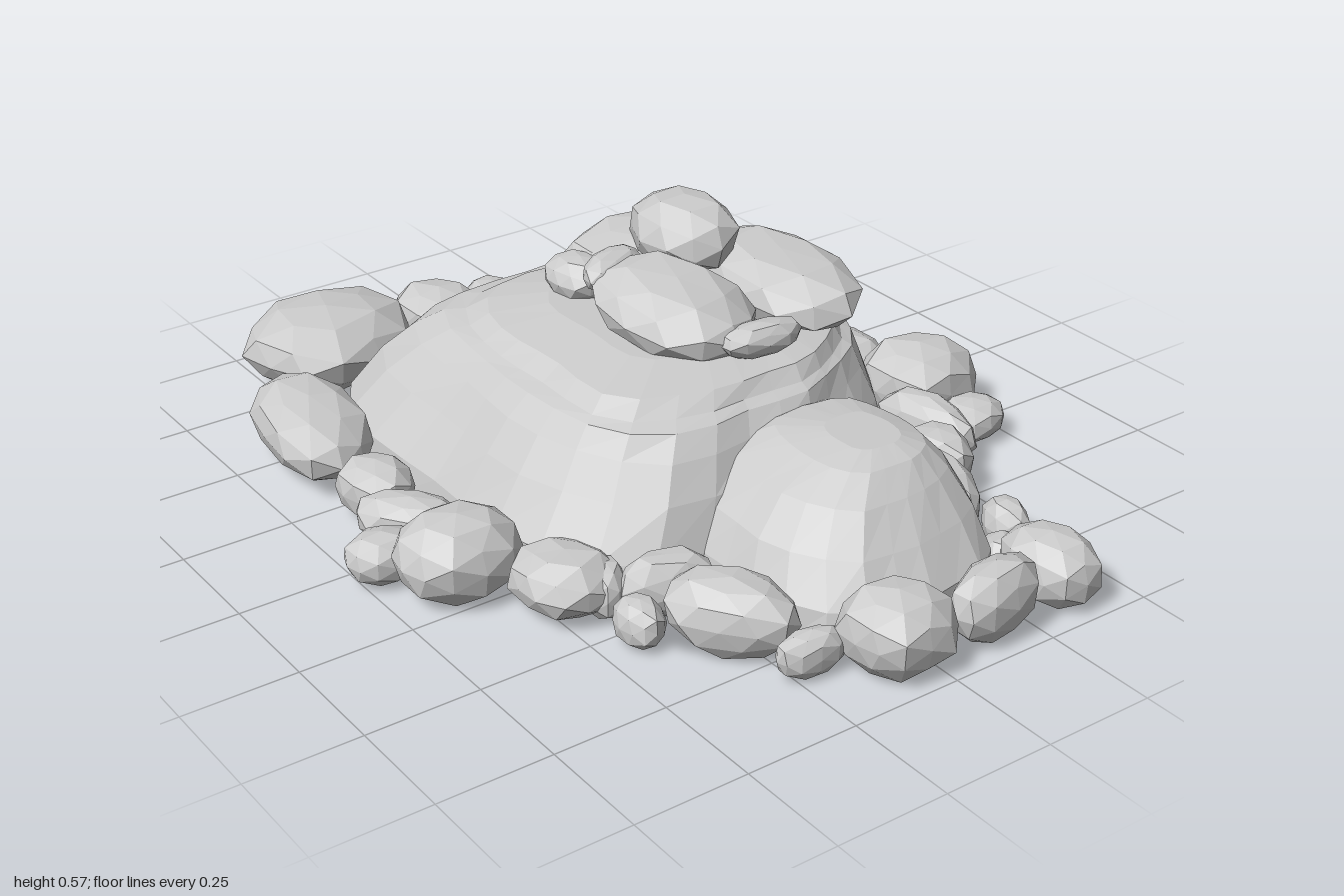
import * as THREE from 'three';

const material = new THREE.MeshStandardMaterial({ color: 0xcccccc, flatShading: true });

// Small repeatable wobble in -1..1
const wobble = (a, b, c) => Math.sin(a * 5.1 + b * 3.7 + c) * Math.cos(c * 4.3 - a * 2.9 + b * 1.7);

// Closed solid from rounded-rectangle levels: [y, xMin, xMax, zMin, zMax];
// bite trims the two corners on the +x side
function mound(name, levels, segments, power, rough, bite) {
  const pos = [], index = [];
  levels.forEach(([y, x0, x1, z0, z1], k) => {
    for (let i = 0; i < segments; i++) {
      const a = (i / segments) * Math.PI * 2;
      const c = Math.cos(a), s = Math.sin(a);
      const r = Math.pow(Math.abs(c) ** power + Math.abs(s) ** power, -1 / power);
      const trim = c > 0 ? bite * 4 * c * c * s * s : 0;
      const w = 1 - trim + rough * wobble(c * 1.3, s * 1.3, k * 0.2);
      pos.push((x0 + x1) / 2 + ((x1 - x0) / 2) * c * r * w, y,
        (z0 + z1) / 2 + ((z1 - z0) / 2) * s * r * w);
    }
  });
  for (let k = 0; k < levels.length - 1; k++) {
    for (let i = 0; i < segments; i++) {
      const a = k * segments + i, b = k * segments + ((i + 1) % segments);
      index.push(a, a + segments, b, b, a + segments, b + segments);
    }
  }
  // Bottom and top caps
  const top = (levels.length - 1) * segments, centre = pos.length / 3;
  for (const [y, x0, x1, z0, z1] of [levels[0], levels[levels.length - 1]]) {
    pos.push((x0 + x1) / 2, y, (z0 + z1) / 2);
  }
  for (let i = 0; i < segments; i++) {
    const j = (i + 1) % segments;
    index.push(centre, i, j, centre + 1, top + j, top + i);
  }
  const geo = new THREE.BufferGeometry();
  geo.setAttribute('position', new THREE.Float32BufferAttribute(pos, 3));
  geo.setIndex(index);
  geo.computeVertexNormals();
  const mesh = new THREE.Mesh(geo, material);
  mesh.name = name;
  return mesh;
}

// Faceted boulder: centre x, z, half sizes, turn about y, bottom and top heights, forward tilt
function rock(name, seed, x, z, rx, rz, turn, y0, y1, tilt = 0) {
  const geo = new THREE.IcosahedronGeometry(1, 1);
  const p = geo.attributes.position, v = new THREE.Vector3();
  for (let i = 0; i < p.count; i++) {
    v.fromBufferAttribute(p, i);
    const block = (Math.abs(v.x) ** 2.25 + Math.abs(v.y) ** 2.25 + Math.abs(v.z) ** 2.25) ** (-1 / 2.25);
    const w = 1.02 * block * (1 + 0.08 * wobble(v.x, v.y + v.z * 0.6, seed * 1.7 + v.z));
    p.setXYZ(i, v.x * w * rx, THREE.MathUtils.clamp(v.y * w, -1, 1) * (y1 - y0) / 2, v.z * w * rz);
  }
  geo.computeVertexNormals();
  const mesh = new THREE.Mesh(geo, material);
  mesh.name = name;
  mesh.position.set(x, (y0 + y1) / 2, z);
  mesh.rotation.set(tilt, turn, 0);
  return mesh;
}

// Ring stones, [x, z, half x, half z, turn, top height]
const backAndLeftStones = [
  [-0.35, -0.81, 0.2, 0.175, 0.3, 0.19],
  [-0.05, -0.8, 0.1, 0.125, 0, 0.16],
  [0.12, -0.83, 0.062, 0.078, 0.2, 0.12],
  [0.12, -0.69, 0.13, 0.052, 0.25, 0.13],
  [0.27, -0.62, 0.085, 0.06, 0, 0.13],
  [0.4, -0.57, 0.075, 0.04, -0.35, 0.1],
  [0.46, -0.41, 0.078, 0.13, 0.45, 0.17],
  [0.575, -0.27, 0.042, 0.06, 0, 0.11],
  [0.53, -0.16, 0.05, 0.045, 0.4, 0.1],
  [0.62, -0.09, 0.08, 0.11, 0.1, 0.13],
  [0.65, 0.14, 0.128, 0.12, 0, 0.19],
  [0.67, 0.3, 0.077, 0.067, 0, 0.11],
  [0.54, 0.3, 0.052, 0.13, 0.2, 0.15],
  [0.45, 0.43, 0.072, 0.085, 0, 0.16],
  [0.365, 0.53, 0.062, 0.12, -0.1, 0.16],
  [0.41, 0.69, 0.045, 0.06, -0.2, 0.12],
  [0.33, 0.77, 0.055, 0.05, 0, 0.1],
];
const frontAndRightStones = [
  [0.35, 0.88, 0.085, 0.108, 0, 0.16],
  [0.16, 0.92, 0.115, 0.062, 0.15, 0.18],
  [-0.06, 0.89, 0.11, 0.106, 0, 0.18],
  [-0.21, 0.82, 0.077, 0.037, -0.1, 0.11],
  [-0.28, 0.66, 0.082, 0.14, 0.6, 0.17],
  [-0.415, 0.545, 0.045, 0.06, 0, 0.11],
  [-0.31, 0.49, 0.1, 0.054, -0.45, 0.15],
  [-0.41, 0.42, 0.045, 0.06, -0.5, 0.13],
  [-0.465, 0.36, 0.098, 0.108, 0.4, 0.15],
  [-0.6, 0.18, 0.13, 0.112, 0, 0.19],
  [-0.7, 0.05, 0.08, 0.067, 0, 0.12],
  [-0.59, -0.02, 0.067, 0.125, 0.6, 0.13],
  [-0.58, -0.185, 0.077, 0.09, 0, 0.14],
  [-0.58, -0.47, 0.11, 0.21, -0.17, 0.17],
];

// Summit pile, [x, z, half x, half z, turn, bottom, top, forward tilt]
const summitStones = [
  [0.18, -0.24, 0.2, 0.13, -0.1, 0.34, 0.48, -0.08],
  [0.3, 0.06, 0.135, 0.21, 0.1, 0.34, 0.49, 0.06],
  [0.02, 0.06, 0.14, 0.19, 0.15, 0.35, 0.495, 0.14],
  [0.17, -0.11, 0.108, 0.13, 0, 0.42, 0.585, 0],
  [-0.03, -0.22, 0.067, 0.08, 0.2, 0.35, 0.45, 0],
  [-0.02, -0.11, 0.09, 0.05, 0.45, 0.42, 0.5, 0],
  [0.1, 0.25, 0.095, 0.042, -0.1, 0.365, 0.44, 0],
];

export function createModel() {
  const model = new THREE.Group();
  model.name = 'rockyMound';

  // Main body with a stepped ledge near the top
  model.add(mound('mainMound', [
    [0.015, -0.5, 0.52, -0.7, 0.5],
    [0.1, -0.49, 0.515, -0.67, 0.48],
    [0.2, -0.42, 0.49, -0.6, 0.44],
    [0.27, -0.37, 0.47, -0.53, 0.4],
    [0.315, -0.33, 0.46, -0.47, 0.37],
    [0.325, -0.3, 0.44, -0.43, 0.34],
    [0.355, -0.26, 0.42, -0.39, 0.31],
    [0.375, -0.14, 0.34, -0.28, 0.2],
  ], 32, 4, 0.03, 0.13));

  // Lower lobe in front
  model.add(mound('frontMound', [
    [0.015, -0.21, 0.32, 0.2, 0.86],
    [0.1, -0.2, 0.32, 0.22, 0.85],
    [0.18, -0.16, 0.31, 0.25, 0.79],
    [0.25, -0.09, 0.28, 0.3, 0.73],
    [0.295, -0.01, 0.24, 0.38, 0.68],
    [0.312, 0.06, 0.19, 0.48, 0.63],
  ], 24, 3, 0.03, 0));

  // Underside closing the corners between the two lobes, facing down
  const outline = [[-0.16, 0.82], [-0.36, 0.62], [-0.45, 0.35], [0.44, 0.3], [0.37, 0.52], [0.25, 0.82]];
  const underside = new THREE.Mesh(
    new THREE.ShapeGeometry(new THREE.Shape(outline.map(([x, z]) => new THREE.Vector2(x, z)))), material);
  underside.name = 'underside';
  underside.rotation.x = Math.PI / 2;
  underside.position.y = 0.013;
  model.add(underside);

  const ring = new THREE.Group();
  ring.name = 'stoneRing';
  [...backAndLeftStones, ...frontAndRightStones].forEach(([x, z, rx, rz, turn, top], i) => {
    ring.add(rock('ringStone', i, x, z, rx, rz, turn, 0.01, top));
  });

  const pile = new THREE.Group();
  pile.name = 'summitPile';
  summitStones.forEach((s, i) => pile.add(rock('summitStone', i + 40, ...s)));

  model.add(ring, pile);
  return model;
}
